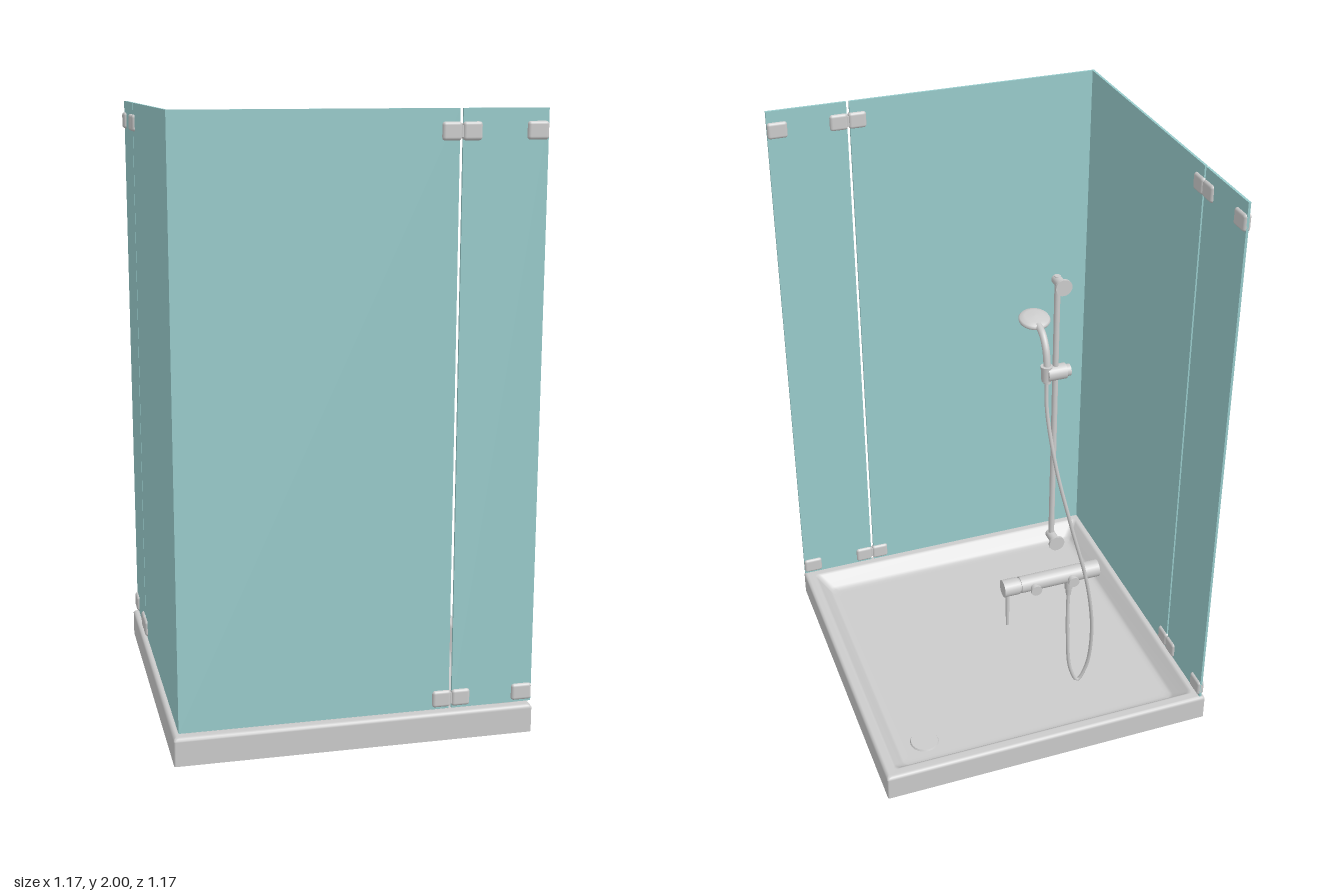
import * as THREE from 'three';
import { RoundedBoxGeometry } from 'three/addons/geometries/RoundedBoxGeometry.js';

const grey = new THREE.MeshStandardMaterial({ color: 0xcccccc });
const sheet = new THREE.MeshStandardMaterial({ color: 0xcccccc, side: THREE.DoubleSide });
const glass = new THREE.MeshStandardMaterial({ color: 0x99cccc });

function add(parent, name, geometry, x = 0, y = 0, z = 0, material = grey) {
  const mesh = new THREE.Mesh(geometry, material);
  mesh.name = name;
  mesh.position.set(x, y, z);
  parent.add(mesh);
  return mesh;
}

// Cylinder along the x, y or z axis
function rod(parent, name, axis, r, length, x, y, z, r2 = r) {
  const g = new THREE.CylinderGeometry(r, r2, length, 24);
  if (axis === 'x') g.rotateZ(Math.PI / 2);
  if (axis === 'z') g.rotateX(Math.PI / 2);
  return add(parent, name, g, x, y, z);
}

function tube(parent, name, points, r, segments) {
  const curve = new THREE.CatmullRomCurve3(points.map(p => new THREE.Vector3(...p)));
  return add(parent, name, new THREE.TubeGeometry(curve, segments, r, 12));
}

// Hollow tray: rounded-square rings of [half width, height, corner radius]
function trayGeometry() {
  const rings = [
    [0.585, 0, 0.006], [0.585, 0.08, 0.006], [0.585, 0.084, 0.006], [0.582, 0.09, 0.008],
    [0.576, 0.093, 0.01], [0.572, 0.093, 0.01], [0.552, 0.093, 0.015], [0.548, 0.092, 0.015],
    [0.542, 0.088, 0.018], [0.507, 0.048, 0.022], [0.498, 0.042, 0.024], [0.485, 0.04, 0.025],
    [0.47, 0.04, 0.025],
  ];
  const steps = 4, n = 4 * (steps + 1), pos = [], index = [];
  for (const [h, y, r] of rings) {
    for (let c = 0; c < 4; c++) {
      const mid = (c + 0.5) * Math.PI / 2;
      const cx = Math.sign(Math.cos(mid)) * (h - r), cz = Math.sign(Math.sin(mid)) * (h - r);
      for (let s = 0; s <= steps; s++) {
        const a = (c + s / steps) * Math.PI / 2;
        pos.push(cx + r * Math.cos(a), y, cz + r * Math.sin(a));
      }
    }
  }
  for (let i = 0; i < rings.length - 1; i++) {
    for (let j = 0; j < n; j++) {
      const a = i * n + j, b = i * n + (j + 1) % n, c = a + n, d = b + n;
      index.push(a, c, b, b, c, d);
    }
  }
  // Flat floor closing the innermost ring
  const last = (rings.length - 1) * n, centre = rings.length * n;
  pos.push(0, 0.04, 0);
  for (let j = 0; j < n; j++) index.push(last + j, centre, last + (j + 1) % n);
  const g = new THREE.BufferGeometry();
  g.setAttribute('position', new THREE.Float32BufferAttribute(pos, 3));
  g.setIndex(index);
  g.computeVertexNormals();
  return g;
}

// One glass wall: wide door, narrow fixed pane, hinges and wall brackets
function glassWall(name, start) {
  const wall = new THREE.Group();
  wall.name = name;
  const pane = (label, x0, x1) =>
    add(wall, label, new THREE.BoxGeometry(x1 - x0, 1.898, 0.008), (x0 + x1) / 2, 1.051, 0, glass);
  pane('doorPane', start, 0.306);
  pane('fixedPane', 0.316, 0.585);
  for (const y of [0.137, 1.933]) {
    for (const x of [0.281, 0.345])
      add(wall, 'hingePlate', new RoundedBoxGeometry(0.061, 0.056, 0.026, 3, 0.01), x, y, 0);
    rod(wall, 'hingePin', 'y', 0.009, 0.036, 0.313, y, 0);
    add(wall, 'wallBracket', new RoundedBoxGeometry(0.068, 0.056, 0.026, 3, 0.01), 0.551, y, 0);
  }
  return wall;
}

// Rail with slider, hand shower and hose
function showerSet() {
  const set = new THREE.Group();
  set.name = 'showerSet';
  const z = -0.535;
  rod(set, 'rail', 'y', 0.009, 0.93, 0, 1.375, z);
  for (const y of [0.925, 1.825]) {
    rod(set, 'railBracket', 'z', 0.015, 0.062, 0, y, -0.554);
    rod(set, 'railFlange', 'z', 0.025, 0.008, 0, y, -0.581);
  }
  rod(set, 'slider', 'x', 0.024, 0.058, -0.002, 1.523, z);
  rod(set, 'sliderKnob', 'x', 0.018, 0.014, -0.038, 1.523, z);
  rod(set, 'handleHolder', 'y', 0.018, 0.05, 0.027, 1.523, z + 0.002, 0.015);
  tube(set, 'handle', [[0.025, 1.49, z], [0.025, 1.55, -0.531], [0.025, 1.6, -0.517],
    [0.025, 1.632, -0.49], [0.025, 1.644, -0.455]], 0.011, 32);
  // Domed spray head, tilted up at its far edge
  const profile = [[0, -0.01], [0.04, -0.01], [0.046, -0.008], [0.048, -0.002],
    [0.044, 0.004], [0.03, 0.009], [0, 0.011]].map(p => new THREE.Vector2(...p));
  const head = add(set, 'showerHead', new THREE.LatheGeometry(profile, 36), 0.025, 1.65, -0.424);
  head.rotation.x = -0.17;
  tube(set, 'hose', [[0.027, 1.5, z], [0.026, 1.4, -0.54], [0.0, 1.2, -0.56], [-0.05, 0.98, -0.571],
    [-0.115, 0.72, -0.573], [-0.147, 0.5, -0.553], [-0.142, 0.33, -0.531], [-0.115, 0.268, -0.523],
    [-0.086, 0.33, -0.525], [-0.069, 0.5, -0.532], [-0.065, 0.71, -0.536]], 0.006, 140);
  return set;
}

// Bar mixer on two wall connectors, with a lever at one end
function mixer() {
  const group = new THREE.Group();
  group.name = 'mixer';
  const y = 0.752, z = -0.537;
  rod(group, 'mixerBody', 'x', 0.027, 0.21, 0, y, z);
  for (const s of [-1, 1]) {
    rod(group, 'mixerNeck', 'x', 0.023, 0.01, s * 0.108, y, z);
    rod(group, 'mixerKnob', 'x', 0.028, 0.051, s * 0.137, y, z);
    rod(group, 'wallConnector', 'z', 0.013, 0.05, s * 0.064, y, -0.56);
    rod(group, 'connectorFlange', 'z', 0.018, 0.008, s * 0.064, y, -0.581);
  }
  rod(group, 'lever', 'y', 0.007, 0.14, 0.146, 0.67, z, 0.005);
  rod(group, 'hoseOutlet', 'y', 0.015, 0.035, -0.065, 0.712, z, 0.013);
  rod(group, 'hoseNut', 'y', 0.011, 0.03, -0.065, 0.682, z, 0.008);
  return group;
}

export function createModel() {
  const model = new THREE.Group();
  model.name = 'showerCabin';
  add(model, 'tray', trayGeometry(), 0, 0, 0, sheet);
  rod(model, 'drainCover', 'y', 0.047, 0.008, 0.402, 0.042, -0.408, 0.051);

  const front = glassWall('frontWall', -0.568);
  front.position.z = 0.564;
  const side = glassWall('sideWall', -0.56);
  side.rotation.y = Math.PI / 2;
  side.position.x = -0.564;
  model.add(front, side, showerSet(), mixer());
  return model;
}
